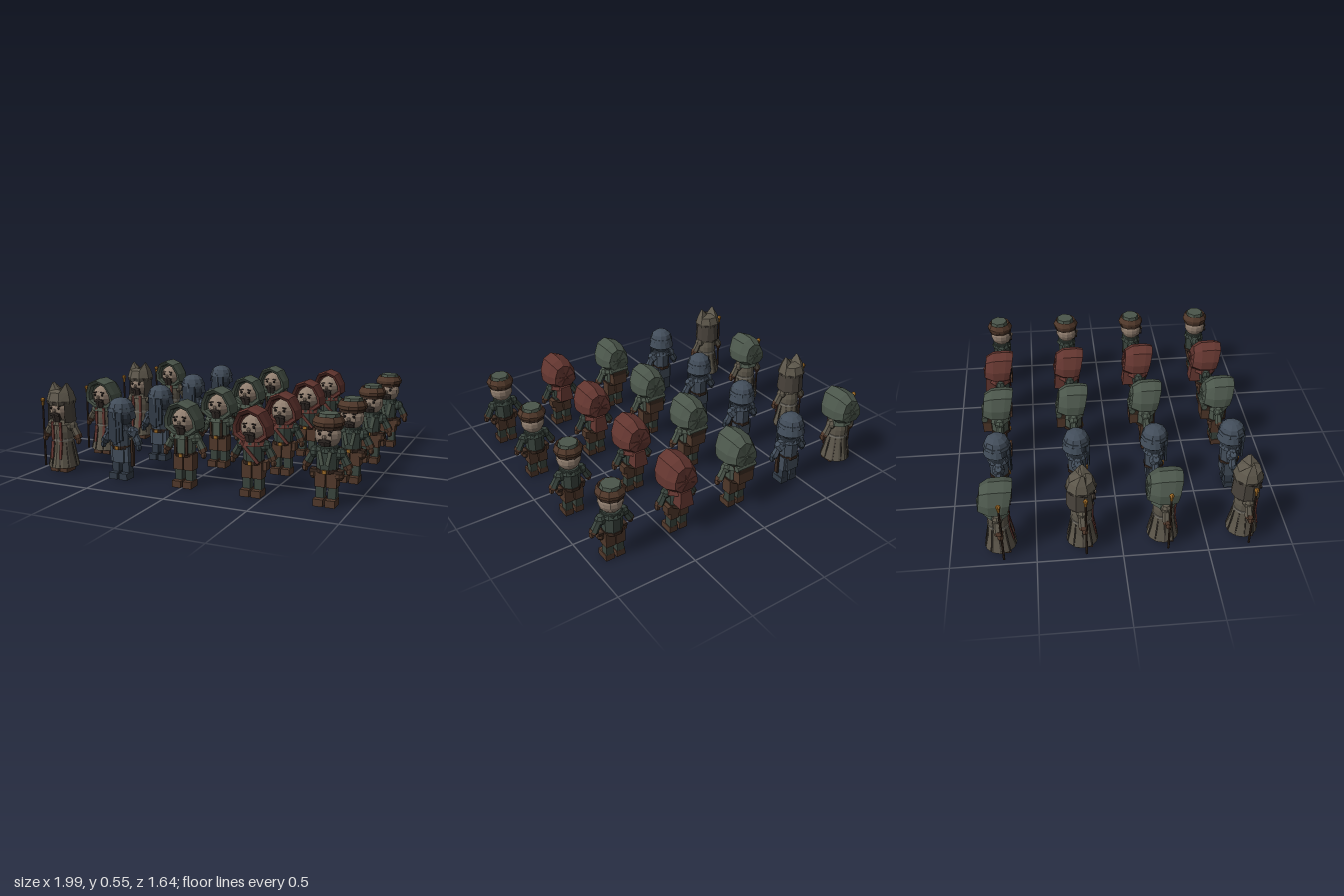
import * as THREE from 'three';

const C = {
  green: 0x4b564b, darkGreen: 0x39443d, red: 0x62352f, blue: 0x424d5a, darkBlue: 0x323c48, brown: 0x50382a,
  darkBrown: 0x38281f, skin: 0x8f7d6e, hair: 0x2c2522, robe: 0x5d574b, darkRobe: 0x47413a, gold: 0x9a6826, iron: 0x77736a,
};
const mats = {};
const mat = (c) => mats[c] ??= new THREE.MeshStandardMaterial({ color: C[c], flatShading: true, side: THREE.DoubleSide });

function part(g, name, geo, color, [x, y, z] = [0, 0, 0], [rx, ry, rz] = [0, 0, 0], [sx, sy, sz] = [1, 1, 1]) {
  const m = new THREE.Mesh(geo, mat(color));
  m.name = name;
  m.position.set(x, y, z);
  m.rotation.set(rx, ry, rz);
  m.scale.set(sx, sy, sz);
  g.add(m);
  return m;
}
const box = (w, h, d) => new THREE.BoxGeometry(w, h, d);
const cyl = (r1, r2, h, n = 8, open = false) => new THREE.CylinderGeometry(r1, r2, h, n, 1, open);
const ball = (r, w = 8, h = 6) => new THREE.SphereGeometry(r, w, h);
const lathe = (pts, n) => new THREE.LatheGeometry(pts.map((p) => new THREE.Vector2(...p)), n);

// Skin a list of equal-length closed rings
function loft(rings) {
  const n = rings[0].length, idx = [];
  for (let r = 0; r < rings.length - 1; r++) for (let i = 0; i < n; i++) {
    const a = r * n + i, b = r * n + (i + 1) % n;
    idx.push(a, b, b + n, a, b + n, a + n);
  }
  const geo = new THREE.BufferGeometry();
  geo.setAttribute('position', new THREE.Float32BufferAttribute(rings.flat(2), 3));
  geo.setIndex(idx);
  geo.computeVertexNormals();
  return geo;
}

// Hood: arches from the face opening over the crown to the flat back
function hoodGeometry() {
  const half = [[0.055, 0.31], [0.108, 0.35], [0.104, 0.41], [0.066, 0.485]];
  const arch = [...half, [0, 0.512], ...half.map(([x, y]) => [-x, y]).reverse()];
  const ring = (s, z0, lean) => arch.map(([x, y]) => [x * s, 0.395 + (y - 0.395) * s, z0 + lean * (y - 0.31) / 0.2]);
  return loft([ring(0.68, 0.03, 0.02), ring(0.74, 0.055, 0.03), ring(0.92, 0.055, 0.045), ring(1, 0.02, 0.035),
    ring(0.97, -0.045, 0.01), ring(0.7, -0.105, 0.02), ring(0, -0.11, 0.02)]);
}

// Mitre: eight-sided base rising to a crest split into two points
function mitreGeometry() {
  const ring = (rx, rz, y, z = 0) => Array.from({ length: 8 }, (_, i) => {
    const a = (i + 0.5) * Math.PI / 4;
    return [Math.sin(a) * rx, y, Math.cos(a) * rz + z];
  });
  const crest = ring(0.052, 0.022, 0.51, 0.008).map(([x, y, z]) => [x, Math.abs(x) > 0.03 ? 0.552 : y, z]);
  return loft([ring(0.083, 0.083, 0.42), ring(0.092, 0.088, 0.445), ring(0.078, 0.07, 0.495), crest, ring(0, 0, 0.505, 0.008)]);
}

const G = {
  hood: hoodGeometry(), mitre: mitreGeometry(), head: ball(0.073, 12, 9), eye: ball(0.009, 6, 4), nose: ball(0.012, 6, 4),
  boot: box(0.055, 0.04, 0.085), leg: box(0.045, 0.08, 0.05), thigh: box(0.058, 0.095, 0.07),
  torso: cyl(0.062, 0.058, 0.14, 8), belt: cyl(0.063, 0.063, 0.02, 8), sleeve: cyl(0.021, 0.025, 0.075, 6),
  cuff: cyl(0.027, 0.024, 0.024, 6), pad: ball(0.034, 7, 5), hand: ball(0.02, 6, 5),
  robe: lathe([[0.055, 0.31], [0.064, 0.25], [0.062, 0.2], [0.075, 0.11], [0.094, 0.03], [0.085, 0.03], [0, 0.06]], 12),
  collar: cyl(0.055, 0.07, 0.03, 8),
};

function face(g, beard) {
  part(g, 'head', G.head, 'skin', [0, 0.39, 0.004]);
  for (const s of [-1, 1]) {
    part(g, 'eye', G.eye, 'hair', [s * 0.027, 0.403, 0.07]);
    part(g, 'brow', box(0.024, 0.006, 0.01), 'hair', [s * 0.027, 0.419, 0.069], [0, 0, s * -0.2]);
    part(g, 'moustache', box(0.034, 0.015, 0.016), 'hair', [s * 0.015, 0.367, 0.073], [0, 0, s * -0.3]);
  }
  part(g, 'nose', G.nose, 'skin', [0, 0.388, 0.078]);
  if (beard) part(g, 'beard', cyl(0.036, 0.025, 0.042, 6), 'hair', [0, 0.338, 0.052], [0, 0, 0], [1, 1, 0.75]);
}

function arms(g, coat, trim) {
  for (const s of [-1, 1]) {
    part(g, 'shoulder', G.pad, coat, [s * 0.07, 0.288, 0]);
    part(g, 'sleeve', G.sleeve, coat, [s * 0.095, 0.257, 0], [0, 0, s * 0.5]);
    part(g, 'cuff', G.cuff, trim, [s * 0.114, 0.221, 0.004], [0, 0, s * 0.5]);
    part(g, 'hand', G.hand, trim, [s * 0.122, 0.198, 0.012], [0, 0, 0], [0.9, 1.1, 1]);
  }
}

function legs(g, trousers, shin, boot) {
  for (const s of [-1, 1]) {
    part(g, 'boot', G.boot, boot, [s * 0.034, 0.02, 0.017]);
    part(g, 'leg', G.leg, shin, [s * 0.034, 0.075, 0]);
    part(g, 'trouserLeg', G.thigh, trousers, [s * 0.032, 0.15, 0]);
  }
}

function body(g, coat, trim, trousers = 'brown', shin = 'darkGreen', boot = 'brown') {
  legs(g, trousers, shin, boot);
  part(g, 'torso', G.torso, coat, [0, 0.255, 0], [0, Math.PI / 8, 0]);
  part(g, 'belt', G.belt, 'darkBrown', [0, 0.195, 0], [0, Math.PI / 8, 0]);
  part(g, 'buckle', box(0.022, 0.02, 0.008), 'gold', [0, 0.195, 0.062]);
  part(g, 'collar', G.collar, coat, [0, 0.316, 0]);
  arms(g, coat, trim);
}

function hood(g, color) {
  part(g, 'hood', G.hood, color);
  part(g, 'hoodCape', cyl(0.07, 0.088, 0.035, 8), color, [0, 0.31, -0.005], [0, Math.PI / 8, 0], [1, 1, 0.9]);
}

// Robed staff bearer, with either a mitre or a hood
function cleric(g, row) {
  for (const s of [-1, 1]) {
    part(g, 'boot', G.boot, 'brown', [s * 0.034, 0.02, 0.017]);
    part(g, 'stole', box(0.018, 0.115, 0.008), 'red', [s * 0.028, 0.257, 0.062]);
    part(g, 'stoleTail', box(0.018, 0.11, 0.008), 'red', [s * 0.03, 0.14, 0.071], [-0.17, 0, 0]);
  }
  for (let i = 0; i < 10; i++) {
    const a = (i + 0.5) * Math.PI / 5;
    part(g, 'robeFold', box(0.007, 0.15, 0.008), 'darkRobe', [Math.sin(a) * 0.077, 0.11, Math.cos(a) * 0.077], [-0.19, a, 0, 'YXZ']).rotation.order = 'YXZ';
  }
  part(g, 'robe', G.robe, 'robe');
  part(g, 'belt', cyl(0.067, 0.067, 0.014, 12), 'iron', [0, 0.2, 0]);
  arms(g, 'robe', 'brown');
  face(g, true);
  if (row % 2) hood(g, 'green');
  else {
    part(g, 'mitre', G.mitre, 'robe');
    part(g, 'mitreBand', cyl(0.091, 0.088, 0.016, 8), 'darkRobe', [0, 0.435, 0]);
    part(g, 'coif', new THREE.CylinderGeometry(0.08, 0.088, 0.12, 8, 1, true, 0.8, Math.PI * 2 - 1.6), 'darkRobe', [0, 0.373, 0]);
    part(g, 'mantle', G.collar, 'robe', [0, 0.312, 0], [0, 0, 0], [1.15, 1, 1.1]);
  }
  part(g, 'staff', cyl(0.006, 0.007, 0.4, 6), 'darkBrown', [-0.127, 0.22, 0.018]);
  part(g, 'staffRing', cyl(0.01, 0.008, 0.025, 6), 'gold', [-0.127, 0.415, 0.018]);
  part(g, 'staffKnob', ball(0.015, 8, 6), 'gold', [-0.127, 0.437, 0.018]);
}

// Armoured guard with helmet, long face veil and sword
function guard(g) {
  body(g, 'blue', 'darkBlue', 'blue', 'darkBlue', 'darkBlue');
  part(g, 'head', G.head, 'darkBlue', [0, 0.385, 0]);
  part(g, 'helmet', lathe([[0.078, 0.4], [0.078, 0.43], [0.066, 0.462], [0.038, 0.484], [0, 0.492]], 10), 'blue');
  part(g, 'helmetBand', cyl(0.08, 0.085, 0.02, 10), 'blue', [0, 0.424, 0]);
  part(g, 'neckGuard', new THREE.CylinderGeometry(0.076, 0.088, 0.05, 9, 1, true, 1.2, Math.PI * 2 - 2.4), 'blue', [0, 0.392, 0]);
  part(g, 'mask', box(0.09, 0.055, 0.02), 'darkBlue', [0, 0.385, 0.066]);
  part(g, 'nosePlate', box(0.014, 0.05, 0.012), 'blue', [0, 0.4, 0.077]);
  for (let i = -2; i <= 2; i++) part(g, 'veilStrip', box(0.018, 0.15 - Math.abs(i) * 0.012, 0.012), 'darkBlue', [i * 0.019, 0.295 + Math.abs(i) * 0.006, 0.073 - Math.abs(i) * 0.003]);
  part(g, 'skirtFront', box(0.075, 0.09, 0.01), 'blue', [0, 0.148, 0.045]);
  part(g, 'skirtBack', box(0.09, 0.09, 0.01), 'blue', [0, 0.148, -0.043]);
  for (const s of [-1, 1]) part(g, 'shoulderPlate', cyl(0.02, 0.04, 0.035, 7), 'blue', [s * 0.086, 0.292, 0], [0, 0, s * -0.7]);
  part(g, 'scabbard', box(0.014, 0.17, 0.024), 'darkBrown', [0.078, 0.165, 0.01]);
  part(g, 'swordGuard', box(0.018, 0.01, 0.05), 'iron', [0.078, 0.252, 0.01]);
  part(g, 'swordGrip', cyl(0.007, 0.007, 0.045, 6), 'darkBrown', [0.078, 0.278, 0.01]);
}

// Hooded traveller with a pack and bedroll
function traveller(g) {
  body(g, 'green', 'brown');
  face(g, true);
  hood(g, 'green');
  part(g, 'backpack', box(0.105, 0.1, 0.055), 'brown', [0, 0.268, -0.08]);
  part(g, 'packFlap', box(0.11, 0.035, 0.058), 'darkBrown', [0, 0.305, -0.08]);
  part(g, 'bedroll', cyl(0.02, 0.02, 0.135, 8), 'green', [0, 0.325, -0.092], [0, 0, Math.PI / 2]);
  for (const s of [-1, 1]) part(g, 'packStrap', box(0.014, 0.11, 0.008), 'darkBrown', [s * 0.036, 0.255, 0.057]);
}

// Red-hooded scout with a shoulder strap and short cape
function scout(g) {
  body(g, 'darkGreen', 'brown');
  face(g, true);
  hood(g, 'red');
  part(g, 'cape', cyl(0.05, 0.065, 0.1, 4), 'red', [0, 0.27, -0.062], [0, Math.PI / 4, 0]);
  part(g, 'shoulderStrap', box(0.018, 0.15, 0.008), 'red', [0, 0.255, 0.062], [0, 0, 0.75]);
  part(g, 'satchel', box(0.025, 0.05, 0.055), 'brown', [0.07, 0.175, -0.01]);
}

// Townsman with a turned-up hat and belt pouches
function townsman(g) {
  body(g, 'darkGreen', 'brown');
  face(g, false);
  part(g, 'beard', cyl(0.042, 0.03, 0.03, 7), 'hair', [0, 0.35, 0.045], [0, 0, 0], [1, 1, 0.8]);
  part(g, 'hatCrown', cyl(0.056, 0.07, 0.075, 7), 'green', [0, 0.467, -0.004]);
  part(g, 'hatBrim', lathe([[0.07, 0.436], [0.084, 0.442], [0.087, 0.462], [0.07, 0.492], [0.062, 0.486]], 10), 'brown');
  part(g, 'hatBand', cyl(0.077, 0.077, 0.015, 10), 'darkBrown', [0, 0.43, 0]);
  for (const s of [-1, 1]) {
    part(g, 'pouch', ball(0.031, 7, 5), 'brown', [s * 0.07, 0.172, 0.012], [0, 0, 0], [0.9, 1, 1]);
    part(g, 'pouchFlap', box(0.04, 0.016, 0.05), 'darkBrown', [s * 0.07, 0.192, 0.012]);
    part(g, 'lapel', box(0.02, 0.08, 0.008), 'green', [s * 0.022, 0.27, 0.06], [0, 0, s * -0.2]);
  }
}

export function createModel() {
  const model = new THREE.Group();
  model.name = 'figureSet';
  const kinds = { cleric, guard, traveller, scout, townsman };
  Object.entries(kinds).forEach(([name, build], col) => {
    for (let row = 0; row < 4; row++) {
      const g = new THREE.Group();
      g.name = name;
      build(g, row);
      g.position.set((col - 2) * 0.426, 0, 0.722 - row * 0.476);
      model.add(g);
    }
  });
  return model;
}
